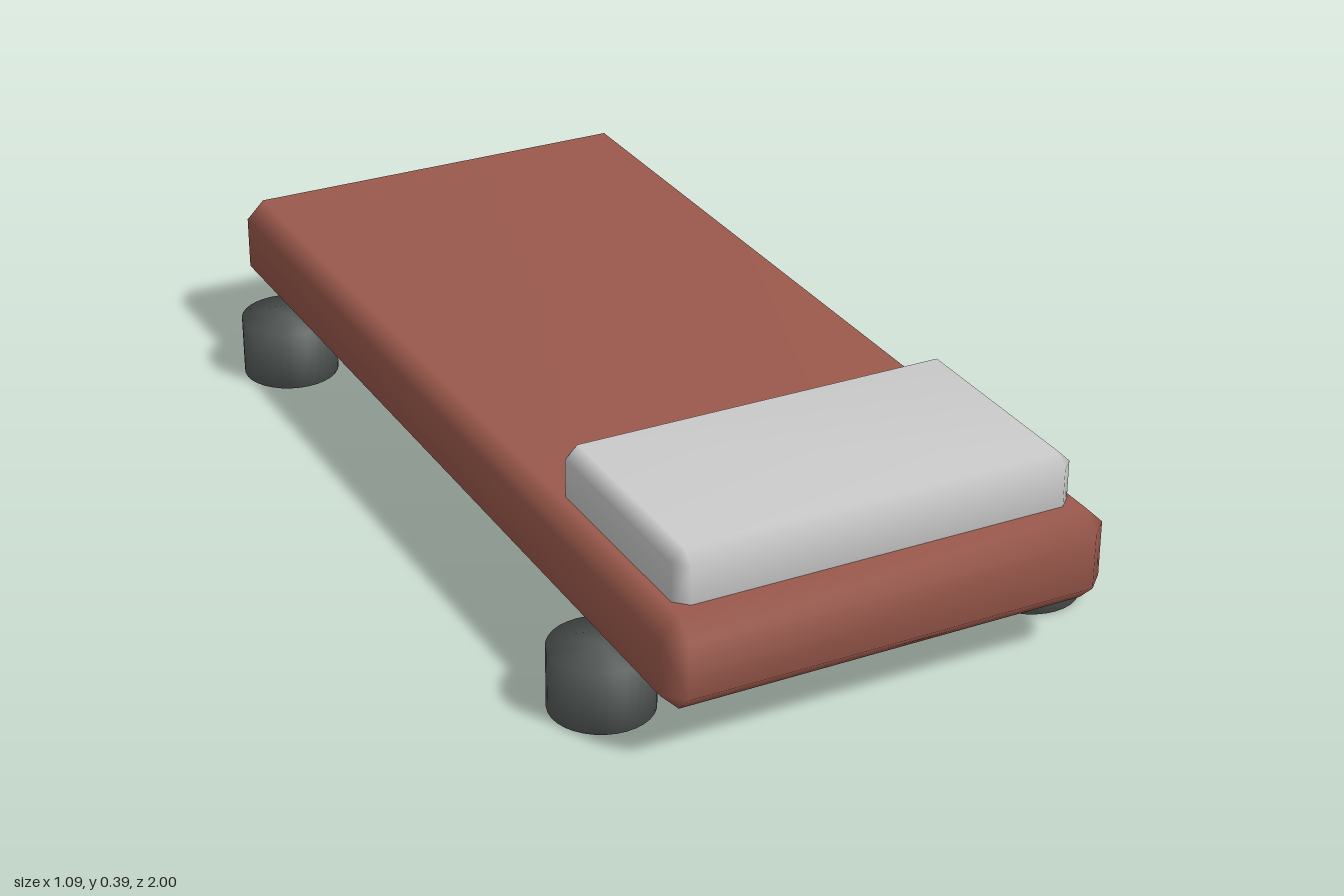
import * as THREE from 'three';
import { mergeVertices } from 'three/addons/utils/BufferGeometryUtils.js';
import { ConvexGeometry } from 'three/addons/geometries/ConvexGeometry.js';

// Weld shared corners so normals blend smoothly across edges
function smooth(geometry) {
  geometry.deleteAttribute('normal');
  geometry.deleteAttribute('uv');
  const welded = mergeVertices(geometry, 1e-4);
  welded.computeVertexNormals();
  return welded;
}

// Box with a single flat bevel on every edge and corner
function beveledBox(width, height, depth, bevel) {
  const [x, y, z] = [width / 2, height / 2, depth / 2];
  const points = [];
  for (const sx of [-1, 1]) for (const sy of [-1, 1]) for (const sz of [-1, 1]) {
    points.push(
      new THREE.Vector3(sx * x, sy * (y - bevel), sz * (z - bevel)),
      new THREE.Vector3(sx * (x - bevel), sy * y, sz * (z - bevel)),
      new THREE.Vector3(sx * (x - bevel), sy * (y - bevel), sz * z)
    );
  }
  return smooth(new ConvexGeometry(points));
}

function addPart(parent, name, geometry, color, x, y, z) {
  const mesh = new THREE.Mesh(geometry, new THREE.MeshStandardMaterial({ color }));
  mesh.name = name;
  mesh.position.set(x, y, z);
  parent.add(mesh);
}

export function createModel() {
  const model = new THREE.Group();
  model.name = 'creeperBoard';

  // Long padded deck
  addPart(model, 'deck', beveledBox(0.892, 0.184, 2, 0.037), 0x9b594c, 0, 0.2, 0);

  // Headrest, sunk slightly into the deck
  addPart(model, 'headrest', beveledBox(0.8, 0.142, 0.46, 0.025), 0xcccccc, 0, 0.321, 0.71);

  // Four round feet under the corners
  const foot = smooth(new THREE.CylinderGeometry(0.099, 0.099, 0.124, 32));
  for (const [xName, sx] of [['Left', 1], ['Right', -1]]) {
    for (const [zName, sz] of [['front', 1], ['back', -1]]) {
      addPart(model, `${zName}${xName}Foot`, foot, 0x555b58, sx * 0.446, 0.062, sz * 0.74);
    }
  }
  return model;
}
